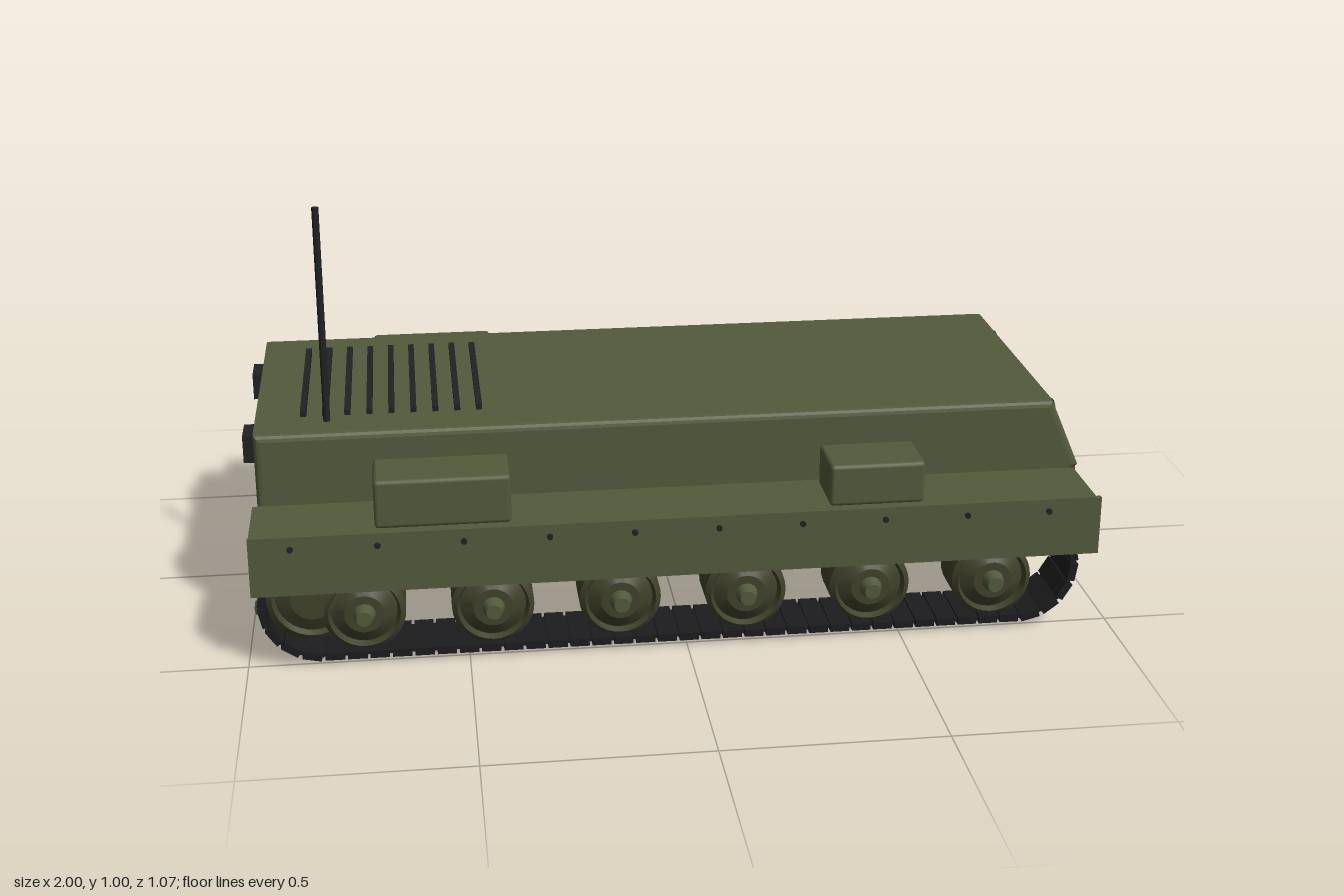
import * as THREE from 'three';
import { mergeGeometries, toCreasedNormals } from 'three/addons/utils/BufferGeometryUtils.js';
import { RoundedBoxGeometry } from 'three/addons/geometries/RoundedBoxGeometry.js';

const material = (name, color) => {
  const m = new THREE.MeshStandardMaterial({ color });
  m.name = name;
  return m;
};

export function createModel() {
  const olive = material('olive paint', 0x525a3b);
  const darkOlive = material('wheel olive', 0x40412a);
  const black = material('black fittings', 0x202123);
  const trackBlack = material('track steel', 0x1c1c1e);
  const padGrey = material('pad grey', 0x414143);
  const red = material('lamp red', 0x8e2a22);

  const model = new THREE.Group();
  model.name = 'trackedCarrier';

  const add = (name, geometry, mat, x = 0, y = 0, z = 0, parent = model) => {
    const mesh = new THREE.Mesh(geometry, mat);
    mesh.name = name;
    mesh.position.set(x, y, z);
    parent.add(mesh);
    return mesh;
  };
  const box = (w, h, d) => new THREE.BoxGeometry(w, h, d);

  // Hull: side profile with a wedge nose, extruded across the width
  const profile = new THREE.Shape([
    [-0.97, 0.16], [0.7, 0.16], [0.967, 0.328], [0.895, 0.495], [-0.97, 0.495],
  ].map(([x, y]) => new THREE.Vector2(x, y)));
  const hull = new THREE.ExtrudeGeometry(profile, {
    depth: 0.65, bevelThickness: 0.015, bevelSize: 0.015, bevelOffset: -0.015, bevelSegments: 3,
  });
  add('hull', hull.translate(0, 0, -0.325), olive);

  // Engine grille on the rear deck
  for (let i = 0; i < 9; i++) {
    add('grilleBar', box(0.014, 0.02, 0.45), black, -0.86 + i * 0.0508, 0.498, 0);
  }

  // Whip aerial
  add('aerial', new THREE.CylinderGeometry(0.008, 0.008, 0.52, 12), black, -0.805, 0.743, 0.255);

  // Suspension arm: a slanted bar from hull pivot to wheel hub
  const armGeometry = box(0.23, 0.035, 0.028);
  armGeometry.rotateZ(-0.27);

  // Road wheel: dished disc revolved about its axle
  const wheelProfile = [
    [0, -0.06], [0.094, -0.06], [0.094, 0.045], [0.082, 0.055], [0.075, 0.04], [0.045, 0.06], [0, 0.06],
  ].map(([r, h]) => new THREE.Vector2(r, h));
  const wheelGeometry = toCreasedNormals(new THREE.LatheGeometry(wheelProfile, 32), 0.5);
  const hubGeometry = new THREE.CylinderGeometry(0.018, 0.027, 0.03, 16);

  // Track path: two straights joined by half circles
  const xRear = -0.83, xFront = 0.78, yMid = 0.1535, radius = 0.1315;
  const straight = xFront - xRear, arc = Math.PI * radius;
  const total = 2 * (straight + arc);
  const placeOnTrack = (geometry, distance) => {
    let d = distance, x, y, angle;
    if (d < straight) {
      [x, y, angle] = [xRear + d, yMid - radius, 0];
    } else if ((d -= straight) < arc) {
      angle = d / radius;
      [x, y] = [xFront + radius * Math.sin(angle), yMid - radius * Math.cos(angle)];
    } else if ((d -= arc) < straight) {
      [x, y, angle] = [xFront - d, yMid + radius, Math.PI];
    } else {
      angle = Math.PI + (d - straight) / radius;
      [x, y] = [xRear + radius * Math.sin(angle), yMid - radius * Math.cos(angle)];
    }
    return geometry.rotateZ(angle).translate(x, y, 0);
  };
  const links = [], pads = [], count = 80;
  for (let i = 0; i < count; i++) {
    const d = (i + 0.5) * total / count;
    links.push(placeOnTrack(box(0.044, 0.018, 0.145), d));
    links.push(placeOnTrack(box(0.052, 0.008, 0.125), d));
    if (i % 2 === 0) pads.push(placeOnTrack(box(0.016, 0.022, 0.042).translate(0, -0.011, 0), d));
  }
  const linkGeometry = mergeGeometries(links);
  const padGeometry = mergeGeometries(pads);

  for (const s of [1, -1]) {
    const side = new THREE.Group();
    side.name = s > 0 ? 'leftSide' : 'rightSide';
    model.add(side);
    const put = (name, g, m, x, y, z) => add(name, g, m, x, y, s * z, side);

    // Fender and side skirt
    put('fender', box(1.93, 0.015, 0.183), olive, -0.015, 0.32, 0.4385);
    put('skirt', box(1.945, 0.14, 0.012), olive, -0.01, 0.255, 0.522);
    for (let i = 0; i < 10; i++) {
      const rivet = new THREE.CylinderGeometry(0.007, 0.007, 0.008, 10);
      put('rivet', rivet.rotateX(Math.PI / 2), black, -0.89 + i * 0.192, 0.298, 0.53);
    }

    // Stowage boxes
    put('rearStowageBox', new RoundedBoxGeometry(0.305, 0.115, 0.14, 2, 0.01), olive, -0.55, 0.385, 0.44);
    put('frontStowageBox', new RoundedBoxGeometry(0.22, 0.1, 0.14, 2, 0.01), olive, 0.438, 0.377, 0.44);

    // Track
    put('trackLinks', linkGeometry, trackBlack, 0, 0, 0.4425);
    put('trackPads', padGeometry, padGrey, 0, 0, 0.4425);

    // Running gear
    for (let i = 0; i < 6; i++) {
      const x = -0.735 + i * 0.2915;
      put('roadWheel', wheelGeometry, darkOlive, x, 0.116, 0.44).rotation.x = s * Math.PI / 2;
      put('wheelHub', hubGeometry, olive, x, 0.116, 0.512).rotation.x = s * Math.PI / 2;
      put('suspensionArm', armGeometry, darkOlive, x - 0.1, 0.145, 0.356);
    }
    const drive = put('driveWheel', wheelGeometry, darkOlive, -0.85, 0.155, 0.437);
    drive.rotation.x = s * Math.PI / 2;
    drive.scale.set(1.12, 0.85, 1.12);

    // Headlamps half sunk in the nose, red marker lamps, rear lamp boxes
    const lamp = new THREE.CylinderGeometry(0.028, 0.028, 0.05, 20).rotateZ(Math.PI / 2);
    put('headlamp', lamp, black, 0.895, 0.441, 0.255);
    put('markerLamp', box(0.035, 0.03, 0.038), red, 0.982, 0.27, 0.2);
    put('rearLamp', box(0.04, 0.065, 0.08), black, -0.98, 0.43, 0.212);
  }
  return model;
}
